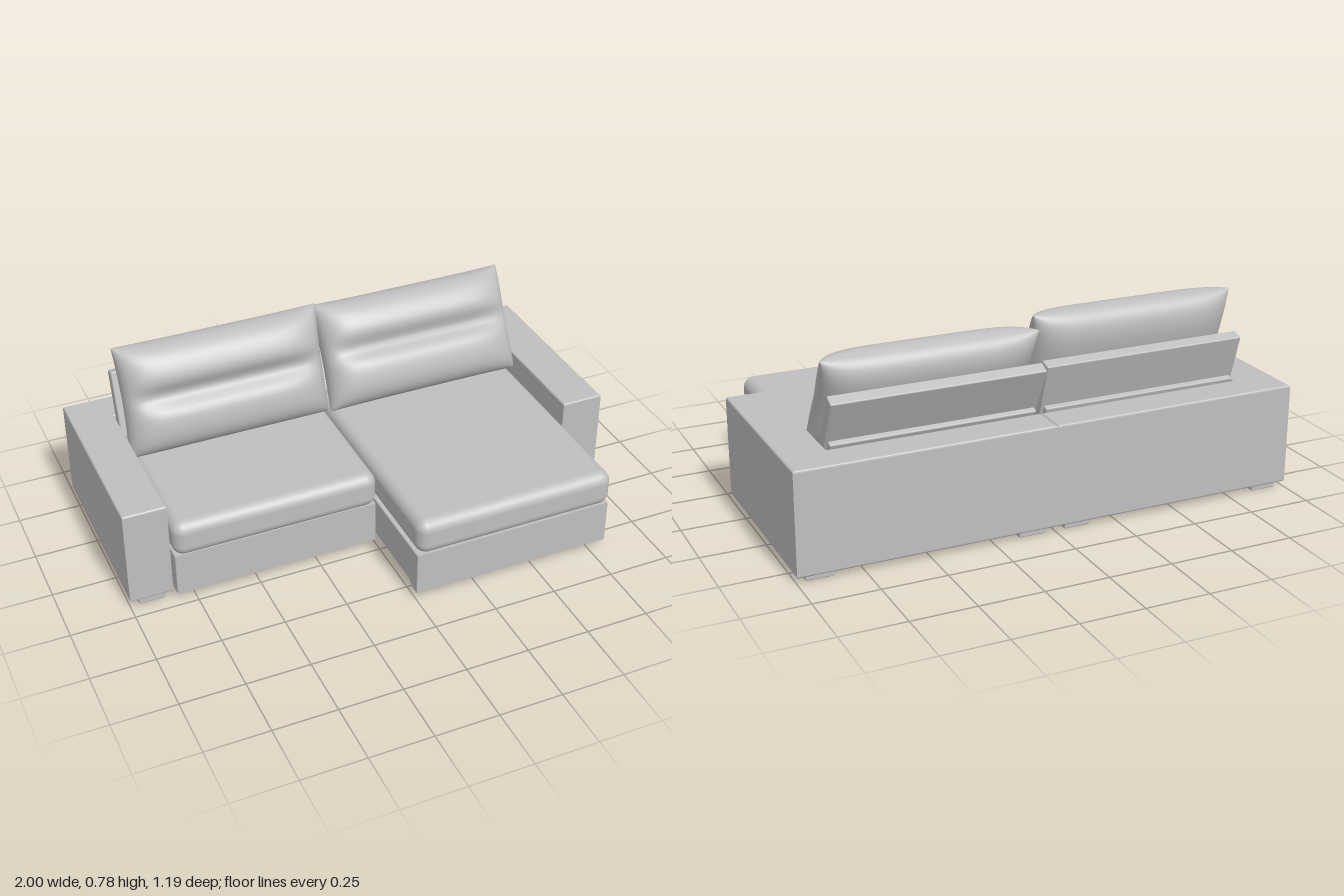
import * as THREE from 'three';
import { RoundedBoxGeometry } from 'three/addons/geometries/RoundedBoxGeometry.js';

export function createModel() {
  const root = new THREE.Group();
  root.name = 'sectionalSofa';
  const fabric = new THREE.MeshStandardMaterial({ color: 0xbfbfbf });
  fabric.name = 'greyFabric';

  function add(parent, name, geometry) {
    const mesh = new THREE.Mesh(geometry, fabric);
    mesh.name = name;
    parent.add(mesh);
    return mesh;
  }

  // Rounded box given by its extents on each axis
  function roundedBox(parent, name, x, y, z, radius, segments = 3) {
    const size = [x, y, z].map(([a, b]) => b - a);
    const mesh = add(parent, name, new RoundedBoxGeometry(...size, segments, radius));
    mesh.position.set(...[x, y, z].map(([a, b]) => (a + b) / 2));
    return mesh;
  }

  function polygon(points) {
    return new THREE.Shape(points.map(([a, b]) => new THREE.Vector2(a, b)));
  }

  // L-shaped arm and back shell, side = +1 for the left module, -1 for its mirror
  function shell(parent, side) {
    const b = 0.008;
    const outline = [[0, 0.6], [1, 0.6], [1, -0.19], [0.83, -0.19], [0.83, 0.46], [0, 0.46]];
    // inset the outline so the bevel reaches the outer faces
    const inset = outline.map(([x, y], i) => [
      side * (x + (x === 0 || (x === 0.83) ? b : -b)),
      y + (i < 2 ? -b : b),
    ]);
    const geometry = new THREE.ExtrudeGeometry(polygon(inset), {
      depth: 0.4 - 2 * b, bevelSize: b, bevelThickness: b, bevelSegments: 3,
    });
    geometry.rotateX(-Math.PI / 2).translate(0, 0.022 + b, 0);
    add(parent, 'armAndBack', geometry);
  }

  // Sliding seat base with a deep front lip, as a side profile drawn across the width
  function seatBase(parent, x0, x1, back, front) {
    const b = 0.005;
    const profile = [
      [back, 0.05], [front - 0.066, 0.05], [front - 0.043, 0.03], [front - b, 0.03],
      [front - b, 0.2], [back, 0.2],
    ];
    const geometry = new THREE.ExtrudeGeometry(polygon(profile), {
      depth: x1 - x0 - 2 * b, bevelSize: b, bevelThickness: b, bevelSegments: 2,
    });
    geometry.rotateY(-Math.PI / 2).translate(x1 - b, 0, 0);
    add(parent, 'seatBase', geometry);
  }

  // Two-lobed pillow: front and back skins meet in a sharp seam
  function backCushion(parent, width, height, frontDepth, backDepth) {
    const group = new THREE.Group();
    group.name = 'backCushion';
    for (const face of [1, -1]) {
      const geometry = new THREE.PlaneGeometry(2, 2, 56, 48);
      if (face < 0) geometry.rotateY(Math.PI);
      const p = geometry.attributes.position;
      for (let i = 0; i < p.count; i++) {
        const u = Math.sin(p.getX(i) * Math.PI / 2);
        const v = Math.sin(p.getY(i) * Math.PI / 2);
        let puff = Math.sqrt(Math.max(0, (1 - u ** 6) * (1 - Math.abs(v) ** 3.5)));
        if (face > 0) {
          // crossways tuck that fades out at both ends
          const tuck = Math.exp(-(((v - 0.06) / 0.2) ** 2)) * (1 - u ** 6);
          puff *= 1 - 0.38 * tuck;
        }
        const pinchX = 1 - 0.025 * (1 - v * v);
        const pinchY = 1 - 0.02 * (1 - u ** 4);
        p.setXYZ(i, u * pinchX * width / 2, v * pinchY * height / 2,
          face * puff * (face > 0 ? frontDepth : backDepth));
      }
      geometry.computeVertexNormals();
      add(group, face > 0 ? 'cushionFront' : 'cushionRear', geometry);
    }
    parent.add(group);
    return group;
  }

  // Place an upright piece so that it runs from a low to a high point [z, y]
  function lean(object, x, low, high) {
    object.position.set(x, (low[1] + high[1]) / 2, (low[0] + high[0]) / 2);
    object.rotation.x = Math.atan2(high[0] - low[0], high[1] - low[1]);
  }
  const span = (a, b) => Math.hypot(a[0] - b[0], a[1] - b[1]);

  const modules = [
    {
      name: 'rightSeatModule', side: -1, baseBack: -0.44, baseFront: 0.218, seatFront: 0.24,
      cushionLow: [-0.25, 0.352], cushionHigh: [-0.387, 0.775], depth: 0.122,
      boardLow: [-0.4, 0.36], boardHigh: [-0.478, 0.618],
    },
    {
      name: 'leftChaiseModule', side: 1, baseBack: -0.2, baseFront: 0.578, seatFront: 0.593,
      cushionLow: [-0.235, 0.352], cushionHigh: [-0.442, 0.737], depth: 0.12,
      boardLow: [-0.375, 0.36], boardHigh: [-0.497, 0.615],
    },
  ];

  for (const m of modules) {
    const group = new THREE.Group();
    group.name = m.name;
    root.add(group);
    const across = (a, b) => (m.side > 0 ? [a, b] : [-b, -a]);

    shell(group, m.side);
    const [x0, x1] = across(0.003, 0.822);
    seatBase(group, x0, x1, m.baseBack, m.baseFront);

    // Seat cushion with slightly domed top
    const seat = roundedBox(group, 'seatCushion', across(0.002, 0.825), [0.205, 0.352],
      [-0.4, m.seatFront], 0.045, 6);
    seat.scale.y = 1;

    // Leaning support board and its lower mounting rail
    const board = add(group, 'supportBoard',
      new RoundedBoxGeometry(0.825, span(m.boardLow, m.boardHigh), 0.048, 2, 0.006));
    lean(board, m.side * 0.417, m.boardLow, m.boardHigh);
    const rail = add(board, 'mountingRail', new RoundedBoxGeometry(0.8, 0.04, 0.03, 2, 0.005));
    rail.position.set(0, -0.06, -0.03);

    const cushion = backCushion(group, 0.836, span(m.cushionLow, m.cushionHigh), m.depth, 0.085);
    lean(cushion, m.side * 0.419, m.cushionLow, m.cushionHigh);

    // Flat feet under the shell
    for (const [a, b, z] of [[0.86, 0.965, 0.162], [0.86, 0.965, -0.562], [0.04, 0.145, -0.562]]) {
      roundedBox(group, 'foot', across(a, b), [0, 0.026], [z - 0.024, z + 0.024], 0.004, 2);
    }
    // Small glides below the front lip
    for (const x of [0.025, 0.795]) {
      const glide = add(group, 'glide', new THREE.CylinderGeometry(0.005, 0.005, 0.02, 12));
      glide.position.set(m.side * x, 0.018, m.baseFront - 0.025);
    }
  }
  return root;
}
